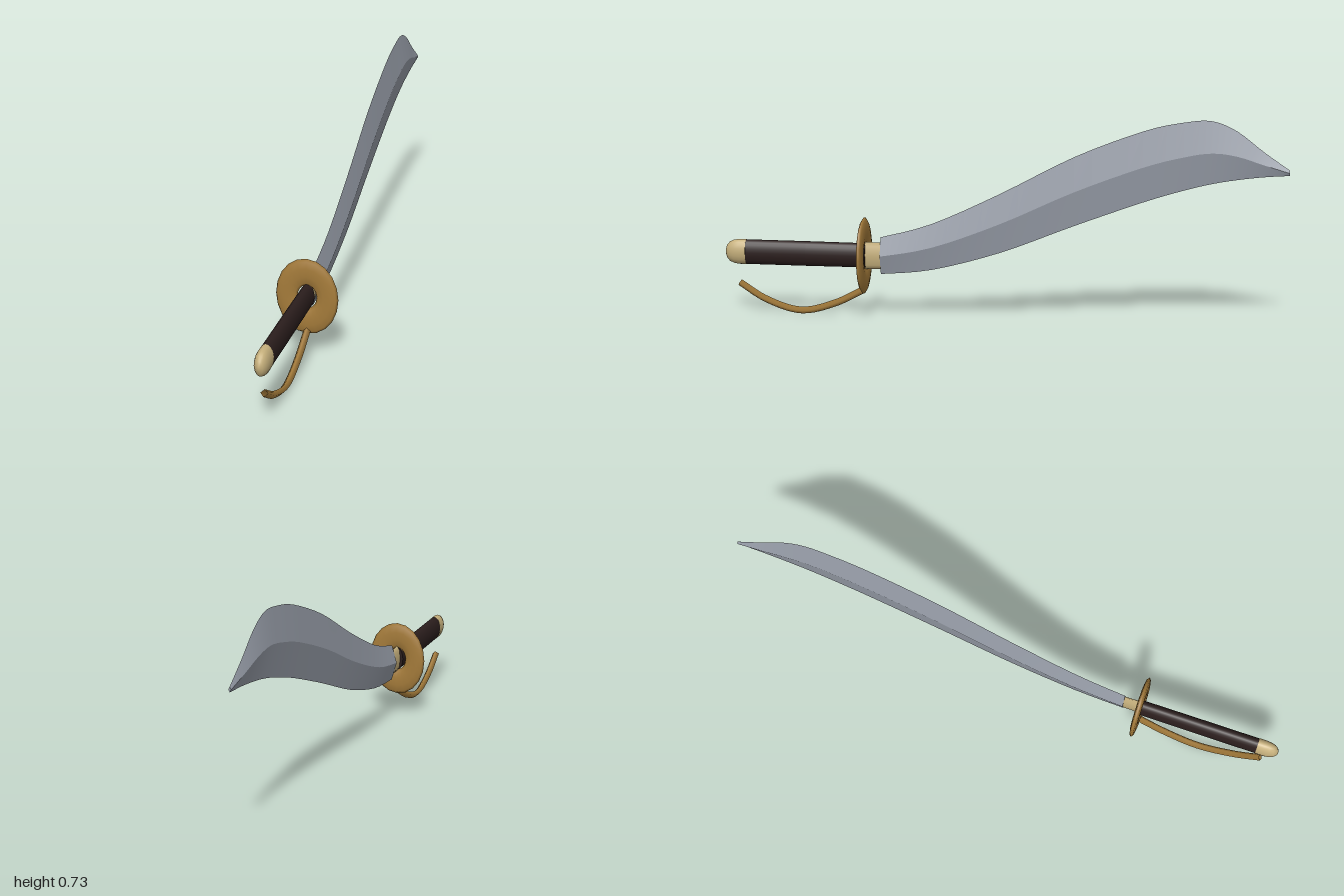
import * as THREE from 'three';

const steel = new THREE.MeshStandardMaterial({ color: 0x979da8 });
const brass = new THREE.MeshStandardMaterial({ color: 0xa47b3a });
const leather = new THREE.MeshStandardMaterial({ color: 0x2b1e1d });
const horn = new THREE.MeshStandardMaterial({ color: 0xc6b07c });
steel.name = 'steel';
brass.name = 'brass';
leather.name = 'dark leather';
horn.name = 'pale horn';
brass.side = THREE.DoubleSide; // the bow is an open tube

const AXIS_Y = 0.223; // height of the hilt axis

function add(group, name, geometry, material) {
  const mesh = new THREE.Mesh(geometry, material);
  mesh.name = name;
  group.add(mesh);
  return mesh;
}

// Elliptical turned part along z; profile points are [radius, z], rising in z
function turned(profile, sides, squash) {
  const points = profile.map(([r, z]) => new THREE.Vector2(r, z));
  const geometry = new THREE.LatheGeometry(points, sides);
  geometry.rotateX(Math.PI / 2);
  geometry.scale(squash, 1, 1);
  geometry.translate(0, AXIS_Y, 0);
  return geometry;
}

// Diamond-section blade: each face is its own strip so the ridges stay sharp
function bladeGeometry() {
  // z, upper edge y, lower edge y, half thickness
  const stations = [
    [0.43, 0.29, 0.157, 0.019], [0.245, 0.343, 0.178, 0.019],
    [0, 0.457, 0.247, 0.019], [-0.26, 0.593, 0.35, 0.019],
    [-0.5, 0.688, 0.44, 0.019], [-0.64, 0.721, 0.485, 0.019],
    [-0.735, 0.727, 0.51, 0.019], [-0.82, 0.693, 0.526, 0.0175],
    [-0.91, 0.625, 0.538, 0.012], [-1, 0.563, 0.545, 0.005],
  ];
  const curve = (k) => new THREE.SplineCurve(stations.map((s) => new THREE.Vector2(s[0], s[k])));
  const [upper, lower, thick] = [1, 2, 3].map(curve);
  const steps = 36;
  const sections = [];
  for (let i = 0; i <= steps; i++) {
    const t = i / steps;
    const a = upper.getPoint(t);
    const b = lower.getPoint(t);
    const w = thick.getPoint(t).y;
    const mid = (a.y + b.y) / 2;
    sections.push([[0, a.y, a.x], [w, mid, a.x], [0, b.y, a.x], [-w, mid, a.x]]);
  }
  const position = [];
  const index = [];
  for (let side = 0; side < 4; side++) {
    const base = position.length / 3;
    sections.forEach((s, i) => {
      position.push(...s[side], ...s[(side + 1) % 4]);
      if (i === steps) return;
      const p = base + i * 2;
      index.push(p, p + 1, p + 2, p + 1, p + 3, p + 2);
    });
  }
  // end caps
  for (const [section, flip] of [[sections[0], false], [sections[steps], true]]) {
    const p = position.length / 3;
    section.forEach((v) => position.push(...v));
    index.push(...(flip ? [p, p + 1, p + 2, p, p + 2, p + 3] : [p, p + 2, p + 1, p, p + 3, p + 2]));
  }
  const geometry = new THREE.BufferGeometry();
  geometry.setAttribute('position', new THREE.Float32BufferAttribute(position, 3));
  geometry.setIndex(index);
  geometry.computeVertexNormals();
  return geometry;
}

export function createModel() {
  const group = new THREE.Group();
  group.name = 'sabre';

  add(group, 'blade', bladeGeometry(), steel);

  // Oval disc guard with a central opening
  const guard = new THREE.TorusGeometry(0.07, 0.0375, 10, 20);
  guard.rotateZ(Math.PI / 2);
  guard.scale(1, 1.28, 0.29);
  guard.translate(0, 0.222, 0.49);
  add(group, 'guard', guard, brass);

  // Grip
  add(group, 'grip', turned([[0, 0.485], [0.044, 0.485], [0.044, 0.485], [0.045, 0.7],
    [0.045, 0.925], [0.045, 0.925], [0, 0.925]], 20, 0.54), leather);

  // Rounded pommel
  add(group, 'pommel', turned([[0, 0.923], [0.0455, 0.923], [0.0455, 0.923], [0.0455, 0.95],
    [0.043, 0.968], [0.036, 0.984], [0.023, 0.995], [0.007, 1], [0, 1]], 20, 0.56), horn);

  // Narrow collar between guard and blade
  const collar = turned([[0, 0.42], [0.047, 0.42], [0.047, 0.42], [0.049, 0.487],
    [0.049, 0.487], [0, 0.487]], 8, 0.27);
  add(group, 'collar', collar, horn);

  // Knuckle bow
  const bow = new THREE.CatmullRomCurve3([[0.11, 0.95], [0.052, 0.855], [0.015, 0.725],
    [0.045, 0.6], [0.1, 0.49]].map(([y, z]) => new THREE.Vector3(0, y, z)));
  add(group, 'knuckleBow', new THREE.TubeGeometry(bow, 24, 0.0125, 4), brass);

  return group;
}
